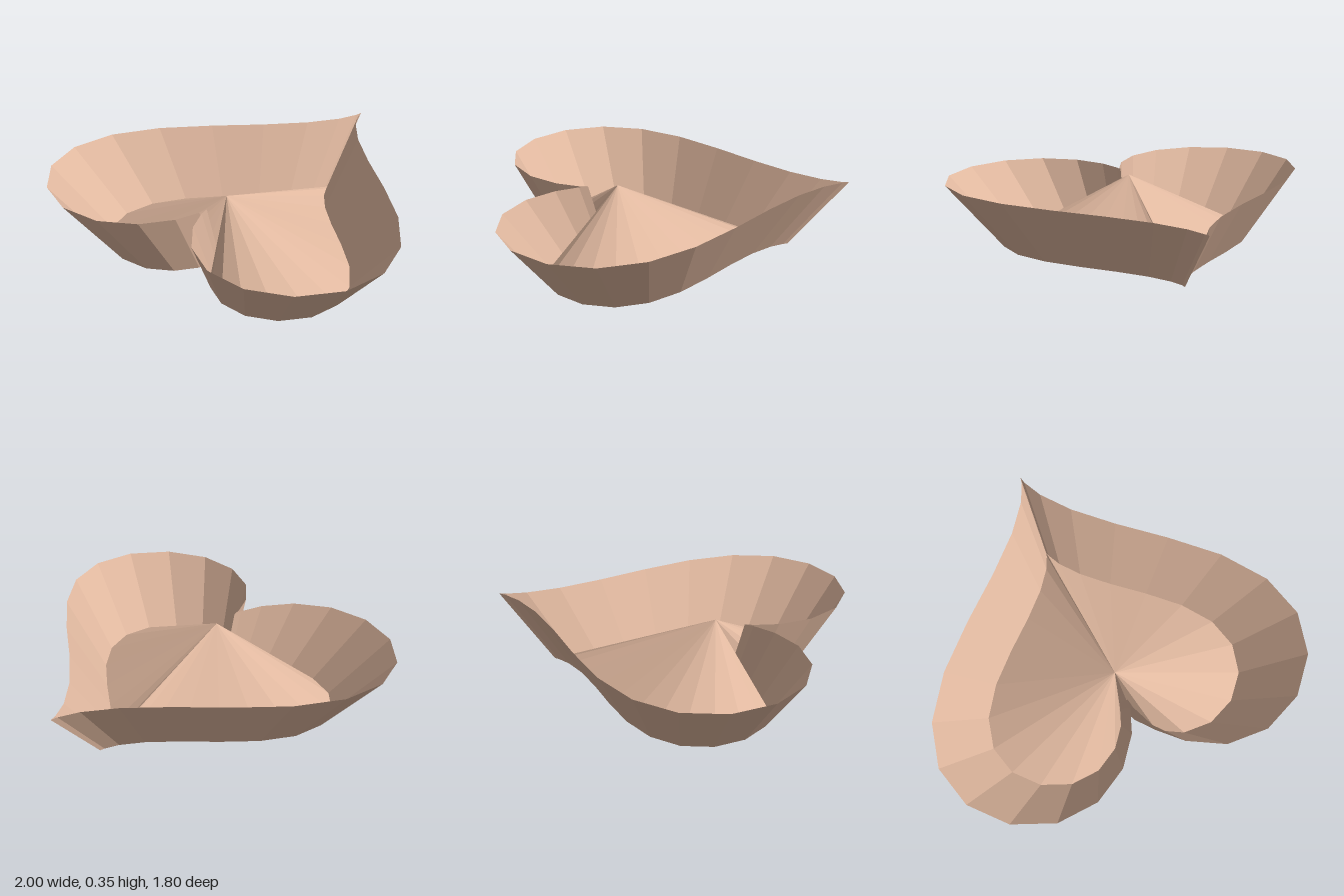
import * as THREE from 'three';

const SEGMENTS = 32;
const RIM_HEIGHT = 0.348;
const BASE_SCALE = 0.705;
const CENTRE_Z = 0.162;
const APEX = [0, 0.354, 0.32];

// One ring of the heart curve, lobes towards +z and tip towards -z
function heartRing(scale, y) {
  return Array.from({ length: SEGMENTS }, (_, i) => {
    const t = (i / SEGMENTS) * Math.PI * 2;
    const x = Math.sin(t) ** 3;
    const z = (13 * Math.cos(t) - 5 * Math.cos(2 * t) - 2 * Math.cos(3 * t) - Math.cos(4 * t)) / 16;
    return [x * scale, y, z * scale + CENTRE_Z];
  });
}

// Faceted mesh from a list of corner points, three per triangle
function facetMesh(name, corners, material) {
  const geometry = new THREE.BufferGeometry();
  geometry.setAttribute('position', new THREE.Float32BufferAttribute(corners.flat(), 3));
  geometry.computeVertexNormals();
  const mesh = new THREE.Mesh(geometry, material);
  mesh.name = name;
  return mesh;
}

export function createModel() {
  const group = new THREE.Group();
  group.name = 'heartDish';
  const material = new THREE.MeshStandardMaterial({ color: 0xe0b89f, flatShading: true, side: THREE.DoubleSide });

  const base = heartRing(BASE_SCALE, 0);
  const rim = heartRing(1, RIM_HEIGHT);
  const hub = [0, 0, APEX[2]];
  const wall = [], cone = [], floor = [];

  for (let i = 0; i < SEGMENTS; i++) {
    const j = (i + 1) % SEGMENTS;
    wall.push(base[i], base[j], rim[j], base[i], rim[j], rim[i]);
    cone.push(APEX, base[i], base[j]);
    floor.push(hub, base[j], base[i]);
  }

  // Flared thin wall, raised inner cone and flat underside
  group.add(
    facetMesh('wall', wall, material),
    facetMesh('innerCone', cone, material),
    facetMesh('underside', floor, material)
  );
  return group;
}
